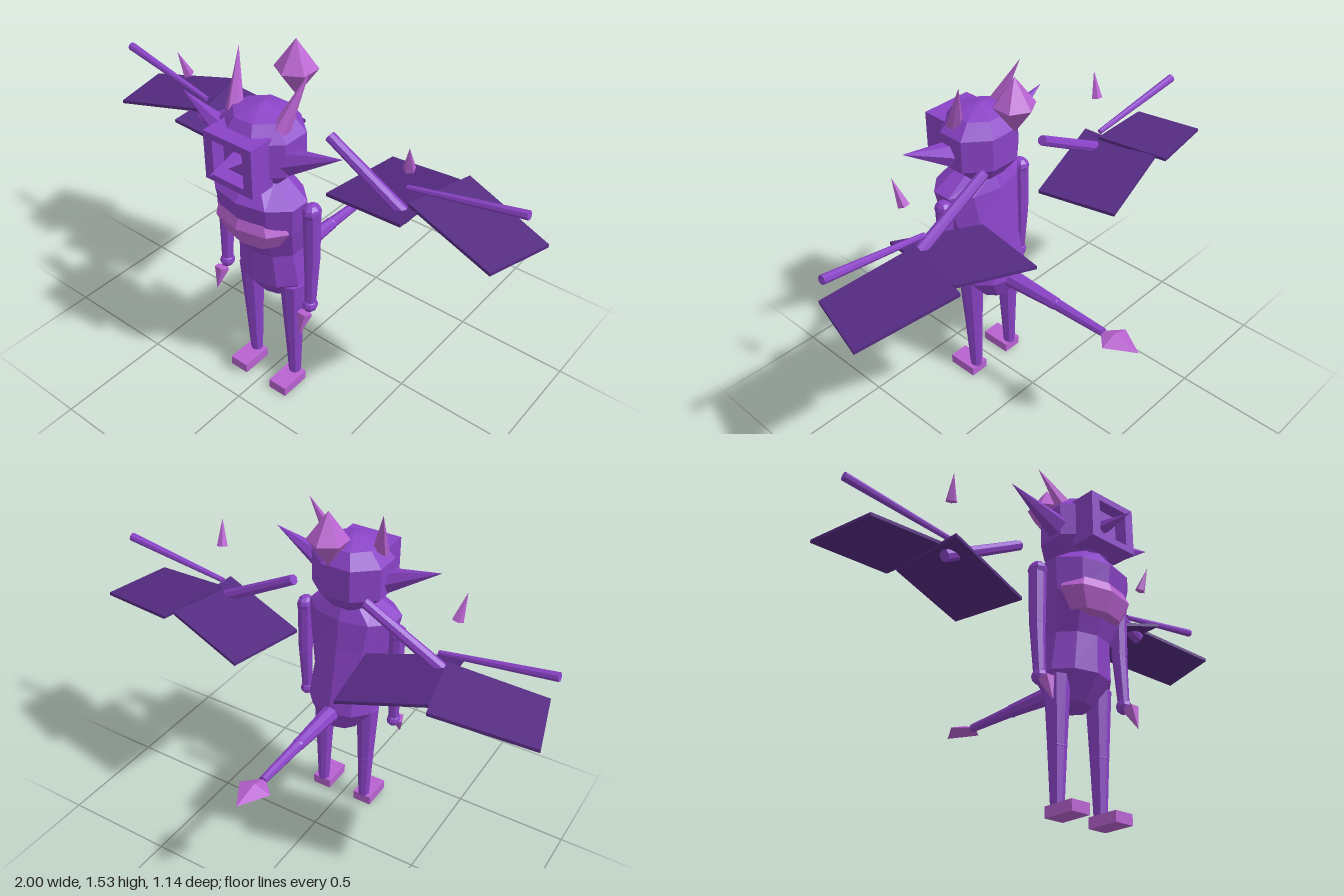
import * as THREE from 'three';

const mat = (name, color, flatShading = true) => {
  const m = new THREE.MeshStandardMaterial({ color, flatShading });
  m.name = name;
  return m;
};

export function createModel() {
  const root = new THREE.Group();
  root.name = 'hornedWingedCreature';
  const purple = mat('purple skin', 0x8a43c6);
  const orchid = mat('orchid', 0xb862d0);
  const dark = mat('dark wing membrane', 0x552b82);

  const add = (name, geometry, material) => {
    const mesh = new THREE.Mesh(geometry, material);
    mesh.name = name;
    root.add(mesh);
    return mesh;
  };

  // tapered rod or cone from point a to point b
  const rod = (name, a, b, ra, rb, material, sides = 6) => {
    const p = new THREE.Vector3(...a), q = new THREE.Vector3(...b);
    const d = q.clone().sub(p);
    const mesh = add(name, new THREE.CylinderGeometry(rb, ra, d.length(), sides), material);
    mesh.position.copy(p).add(q).multiplyScalar(0.5);
    mesh.quaternion.setFromUnitVectors(new THREE.Vector3(0, 1, 0), d.normalize());
    return mesh;
  };

  const ball = (name, pos, scale, material, w = 8, h = 6) => {
    const mesh = add(name, new THREE.SphereGeometry(1, w, h), material);
    mesh.position.set(...pos);
    mesh.scale.set(...scale);
    return mesh;
  };

  // closed body from elliptical rings [y, centre z, radius x, radius z]
  const loft = (name, rings, sides, turn, material) => {
    const pos = [], idx = [];
    for (const [y, cz, rx, rz] of rings)
      for (let i = 0; i < sides; i++) {
        const t = ((i + turn) / sides) * Math.PI * 2;
        pos.push(rx * Math.sin(t), y, cz + rz * Math.cos(t));
      }
    const last = (rings.length - 1) * sides;
    for (let r = 0; r < last; r += sides)
      for (let i = 0; i < sides; i++) {
        const j = (i + 1) % sides;
        idx.push(r + i, r + j, r + sides + j, r + i, r + sides + j, r + sides + i);
      }
    for (let i = 1; i < sides - 1; i++) {
      idx.push(0, i + 1, i);
      idx.push(last, last + i, last + i + 1);
    }
    const g = new THREE.BufferGeometry();
    g.setAttribute('position', new THREE.Float32BufferAttribute(pos, 3));
    g.setIndex(idx);
    g.computeVertexNormals();
    return add(name, g, material);
  };

  // thin wing panel: plan corners [x, z], with height following x
  const panel = (name, corners, s, height) => {
    const shape = new THREE.Shape(corners.map(([x, z]) => new THREE.Vector2(x * s, z)));
    const g = new THREE.ExtrudeGeometry(shape, { depth: 0.014, bevelEnabled: false });
    g.rotateX(Math.PI / 2);
    const p = g.attributes.position;
    for (let i = 0; i < p.count; i++) p.setY(i, p.getY(i) + 0.007 + height(Math.abs(p.getX(i))));
    g.computeVertexNormals();
    return add(name, g, dark);
  };

  // torso and chest
  loft('torso', [
    [0.465, 0.225, 0.085, 0.075], [0.565, 0.24, 0.165, 0.13], [0.72, 0.257, 0.148, 0.118],
    [0.87, 0.3, 0.19, 0.137], [1.0, 0.318, 0.212, 0.137], [1.075, 0.305, 0.1, 0.095],
  ], 10, 0, purple);
  ball('chest', [0, 0.88, 0.36], [0.18, 0.115, 0.1], orchid, 8, 4);

  // head
  loft('head', [
    [1.055, 0.29, 0.1, 0.1], [1.125, 0.288, 0.175, 0.152], [1.265, 0.288, 0.175, 0.152],
    [1.325, 0.288, 0.115, 0.11], [1.355, 0.288, 0.01, 0.01],
  ], 8, 0.5, purple);

  // square face frame around a recessed face
  const frame = new THREE.Shape([[-0.115, -0.103], [0.115, -0.103], [0.115, 0.103], [-0.115, 0.103]]
    .map(p => new THREE.Vector2(...p)));
  frame.holes.push(new THREE.Path([[-0.073, -0.075], [-0.073, 0.075], [0.073, 0.075], [0.073, -0.075]]
    .map(p => new THREE.Vector2(...p))));
  add('faceFrame', new THREE.ExtrudeGeometry(frame, { depth: 0.11, bevelEnabled: false }), purple)
    .position.set(0, 1.183, 0.37);
  rod('noseSpike', [0, 1.185, 0.42], [0, 1.185, 0.575], 0.03, 0, purple, 5);

  // floating crystal
  const crystal = add('crystal', new THREE.LatheGeometry(
    [[0, -0.118], [0.086, 0], [0, 0.118]].map(p => new THREE.Vector2(...p)), 6), orchid);
  crystal.position.set(0, 1.416, 0.093);

  // tail with flattened tip
  rod('tailBase', [0, 0.555, 0.17], [0, 0.558, -0.13], 0.042, 0.027, purple, 8);
  rod('tailEnd', [0, 0.558, -0.13], [0, 0.555, -0.39], 0.025, 0.018, purple, 8);
  ball('tailJoint', [0, 0.558, -0.13], [0.028, 0.028, 0.028], purple);
  const tip = add('tailTip', new THREE.LatheGeometry(
    [[0, -0.07], [0.075, 0], [0, 0.125]].map(p => new THREE.Vector2(...p)), 4), orchid);
  tip.geometry.rotateX(-Math.PI / 2);
  tip.scale.y = 0.34;
  tip.position.set(0, 0.555, -0.445);

  for (const s of [1, -1]) {
    const side = s > 0 ? 'left' : 'right';

    // horns and ears
    rod(side + 'Horn', [s * 0.11, 1.29, 0.315], [s * 0.166, 1.505, 0.22], 0.036, 0, orchid);
    rod(side + 'Ear', [s * 0.15, 1.175, 0.315], [s * 0.387, 1.28, 0.31], 0.052, 0, purple);

    // arms
    const ax = s * 0.225;
    ball(side + 'Shoulder', [ax, 0.965, 0.28], [0.036, 0.036, 0.042], purple);
    rod(side + 'UpperArm', [ax, 0.97, 0.28], [ax, 0.73, 0.278], 0.036, 0.032, purple, 8);
    rod(side + 'Forearm', [ax, 0.73, 0.278], [ax, 0.51, 0.29], 0.031, 0.023, purple, 8);
    ball(side + 'Hand', [ax, 0.51, 0.29], [0.03, 0.032, 0.034], purple);
    rod(side + 'Claw', [ax, 0.49, 0.325], [ax, 0.395, 0.362], 0.032, 0, orchid, 5);

    // legs
    const lx = s * 0.11;
    rod(side + 'Thigh', [lx, 0.55, 0.262], [lx, 0.27, 0.258], 0.052, 0.037, purple, 8);
    rod(side + 'Shin', [lx, 0.27, 0.258], [lx, 0.04, 0.255], 0.037, 0.026, purple, 8);
    ball(side + 'Knee', [lx, 0.27, 0.258], [0.038, 0.03, 0.038], purple);
    add(side + 'Foot', new THREE.BoxGeometry(0.088, 0.044, 0.14), orchid)
      .position.set(lx, 0.022, 0.305);

    // wing bones, floating wing claw and membranes
    rod(side + 'InnerWingBone', [s * 0.165, 1.185, 0.1], [s * 0.545, 0.98, 0.105], 0.022, 0.026, purple, 8);
    rod(side + 'OuterWingBone', [s * 0.505, 1.088, 0.075], [s * 0.977, 1.172, 0.052], 0.011, 0.018, purple, 8);
    rod(side + 'WingClaw', [s * 0.543, 1.215, 0.13], [s * 0.56, 1.325, 0.165], 0.024, 0, orchid, 5);
    panel(side + 'InnerMembrane',
      [[0.23, -0.235], [0.585, -0.165], [0.567, 0.205], [0.165, 0.12]], s,
      x => 0.935 + (x - 0.2) * 0.23);
    panel(side + 'OuterMembrane',
      [[0.6, -0.21], [1, -0.105], [0.925, 0.18], [0.53, 0.1]], s,
      x => 1.035 - (x - 0.53) * 0.17);
  }
  return root;
}
